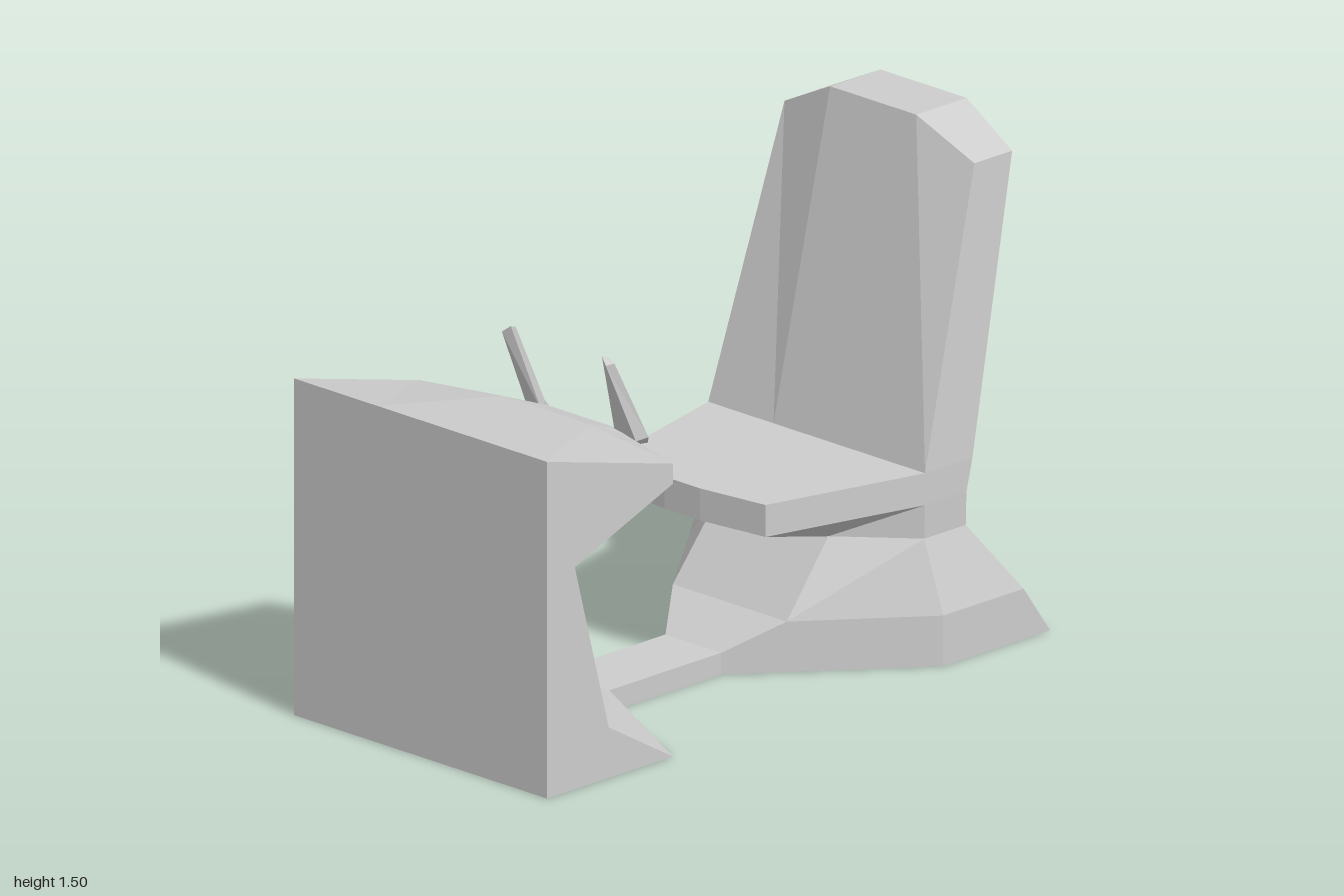
import * as THREE from 'three';

const grey = new THREE.MeshStandardMaterial({ color: 0xcccccc, flatShading: true });
grey.name = 'light grey';

// Skins a row of equal-length loops of [x, y, z] corners and closes both ends.
function loft(name, loops) {
  const tris = [];
  const n = loops[0].length;
  const tri = (...c) => {
    const [a, b, d] = c.map((p) => new THREE.Vector3(...p));
    if (b.clone().sub(a).cross(d.clone().sub(a)).length() > 1e-7) tris.push([a, b, d]);
  };
  for (let k = 0; k + 1 < loops.length; k++) {
    const p = loops[k], q = loops[k + 1];
    for (let i = 0; i < n; i++) {
      const j = (i + 1) % n;
      tri(p[i], p[j], q[j]);
      tri(p[i], q[j], q[i]);
    }
  }
  const first = loops[0], last = loops[loops.length - 1];
  for (let i = 1; i + 1 < n; i++) {
    tri(first[0], first[i + 1], first[i]);
    tri(last[0], last[i], last[i + 1]);
  }
  // Turn the skin outward if the enclosed volume is negative.
  const volume = tris.reduce((s, [a, b, c]) => s + a.dot(b.clone().cross(c)), 0);
  const flat = tris.flatMap(([a, b, c]) => (volume < 0 ? [a, c, b] : [a, b, c]));
  const geometry = new THREE.BufferGeometry().setFromPoints(flat);
  geometry.computeVertexNormals();
  const mesh = new THREE.Mesh(geometry, grey);
  mesh.name = name;
  return mesh;
}

const flip = ([x, y, z]) => [-x, y, z];
// Completes a half outline with its mirror image to make a closed loop.
const closed = (half) => [...half, ...half.map(flip).reverse()];
// Completes a row of loops, given from the +x end inward, with its mirror image.
const across = (loops) => [...loops, ...loops.map((l) => l.map(flip)).reverse()];

export function createModel() {
  const group = new THREE.Group();
  group.name = 'driving seat with console';

  // Console cabinet, with a ridge along the middle of its overhang
  const cabinet = (x, top, bottom) => [
    [x, 0.66, 0.89], [x, 0.15, 0.755], [x, 0, 0.755], [x, 0, 1],
    [x, 1, 1], [x, top, 0.5], [x, bottom, 0.5],
  ];
  group.add(loft('console', across([cabinet(0.5, 0.87, 0.81), cabinet(0.17, 0.905, 0.735)])));

  // Tapered steering column
  group.add(loft('steeringColumn', [
    closed([[0.17, 0.905, 0.5], [0.5, 0.87, 0.5], [0.5, 0.81, 0.5], [0.17, 0.735, 0.5]]),
    closed([[0.14, 0.855, 0.37], [0.2, 0.845, 0.375], [0.2, 0.82, 0.375], [0.14, 0.81, 0.365]]),
  ]));

  // U-shaped steering yoke, from one horn tip through the bar to the other
  group.add(loft('steeringYoke', across([
    [[0.21, 1.08, 0.44], [0.185, 1.09, 0.435], [0.18, 1.1, 0.46], [0.205, 1.08, 0.47]],
    [[0.215, 0.83, 0.31], [0.185, 0.845, 0.32], [0.145, 0.83, 0.37], [0.215, 0.83, 0.36]],
    [[0.185, 0.8, 0.282], [0.185, 0.83, 0.315], [0.14, 0.825, 0.37], [0.19, 0.812, 0.365]],
  ])));

  // Foot ramp narrowing into the floor beam
  const floor = (x, y, zLow, zTop) => closed([[x, 0, zLow], [x, y, zTop]]);
  group.add(loft('floorBeam', [
    floor(0.5, 0.15, 0.755, 0.755), floor(0.5, 0.15, 0.5, 0.755),
    floor(0.11, 0.065, 0.36, 0.36), floor(0.11, 0.065, -0.085, -0.085),
  ]));

  // Pedestal flaring out at the floor, necking in, then spreading into the seat
  group.add(loft('seatAndPedestal', [
    [[0.11, 0, -0.085], [0.225, 0, -0.23], [0.5, 0, -0.575], [0.5, 0, -1]],
    [[0.11, 0.065, -0.085], [0.225, 0.15, -0.23], [0.5, 0.15, -0.575], [0.5, 0.15, -0.895]],
    [[0.11, 0.15, -0.23], [0.225, 0.15, -0.23], [0.5, 0.15, -0.575], [0.5, 0.15, -0.895]],
    [[0.11, 0.36, -0.4], [0.22, 0.36, -0.4], [0.425, 0.36, -0.575], [0.425, 0.36, -0.74]],
    [[0.07, 0.46, -0.04], [0.3, 0.46, -0.07], [0.428, 0.46, -0.575], [0.428, 0.46, -0.74]],
    [[0.07, 0.555, -0.04], [0.3, 0.555, -0.07], [0.428, 0.555, -0.575], [0.428, 0.555, -0.764]],
  ].map(closed)));

  // Reclined backrest with sloping shoulders
  const rib = (xLow, xTop, y, front, back) => [
    [xLow, 0.555, -0.575], [xTop, y, front], [xTop, y, back], [xLow, 0.555, -0.764],
  ];
  group.add(loft('backrest', across([
    rib(0.428, 0.375, 1.4, -0.825, -0.975), rib(0.17, 0.17, 1.5, -0.8, -1),
  ])));

  return group;
}
